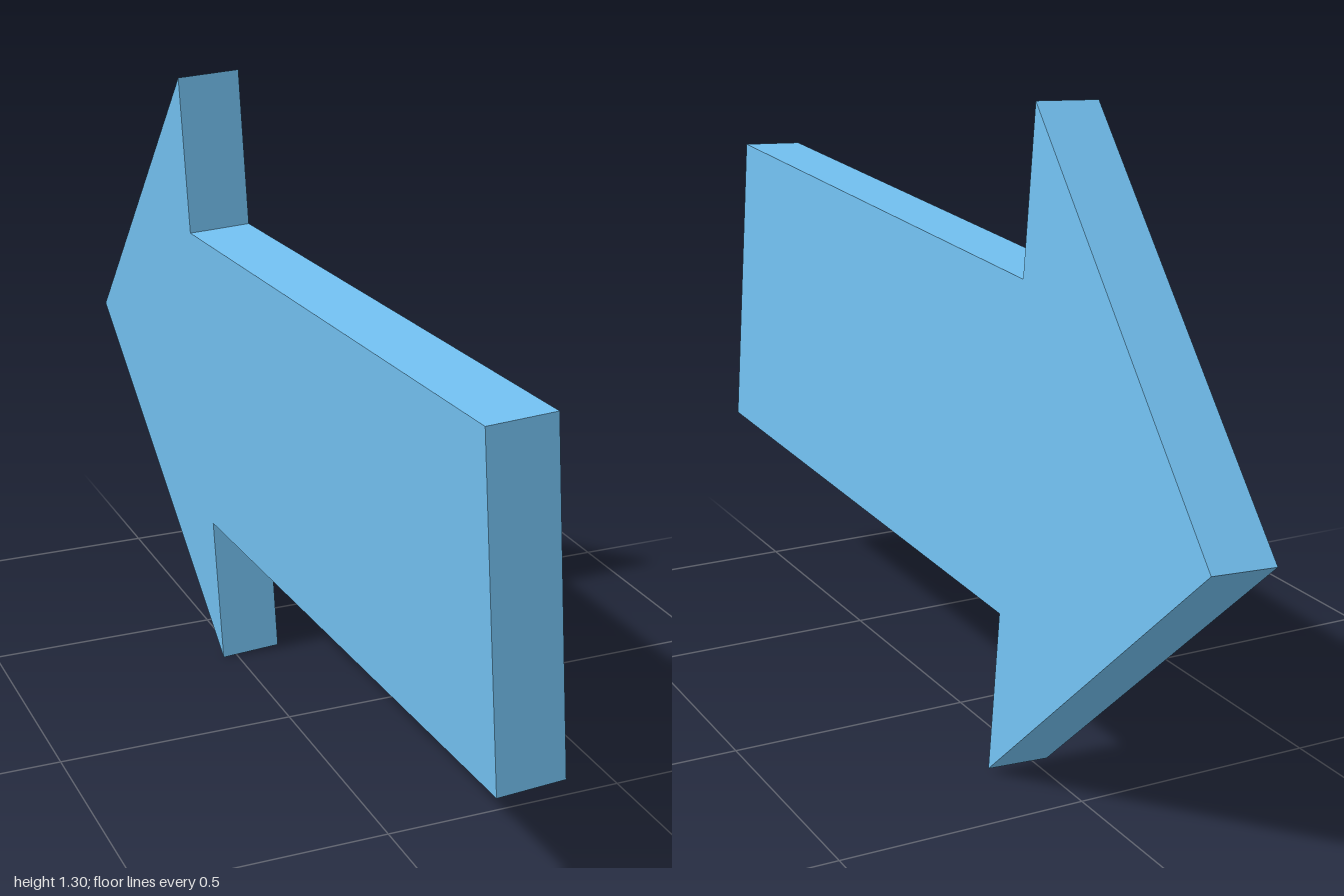
import * as THREE from 'three';

export function createModel() {
  const group = new THREE.Group();
  const thickness = 0.13, shaftHalf = 0.326, headHalf = 0.65, tail = -0.995, neck = 0.33, tip = 0.995;

  // Arrow outline, pointing along +x of the shape
  const outline = new THREE.Shape([
    [tail, -shaftHalf], [neck, -shaftHalf], [neck, -headHalf], [tip, 0],
    [neck, headHalf], [neck, shaftHalf], [tail, shaftHalf],
  ].map(([u, v]) => new THREE.Vector2(u, v)));

  // Flat slab, turned so that the tip points to the back (-z)
  const geometry = new THREE.ExtrudeGeometry(outline, { depth: thickness, bevelEnabled: false });
  geometry.translate(0, 0, -thickness / 2);
  geometry.rotateY(Math.PI / 2);

  const arrow = new THREE.Mesh(geometry, new THREE.MeshStandardMaterial({ color: 0x72c0f0 }));
  arrow.name = 'arrow';
  // Slight lean to the side, with the tip dipping a little
  arrow.rotation.set(-0.031, 0.0055, 0.052, 'ZYX');
  arrow.position.set(0.001, 0.664, 0);
  group.add(arrow);
  return group;
}
